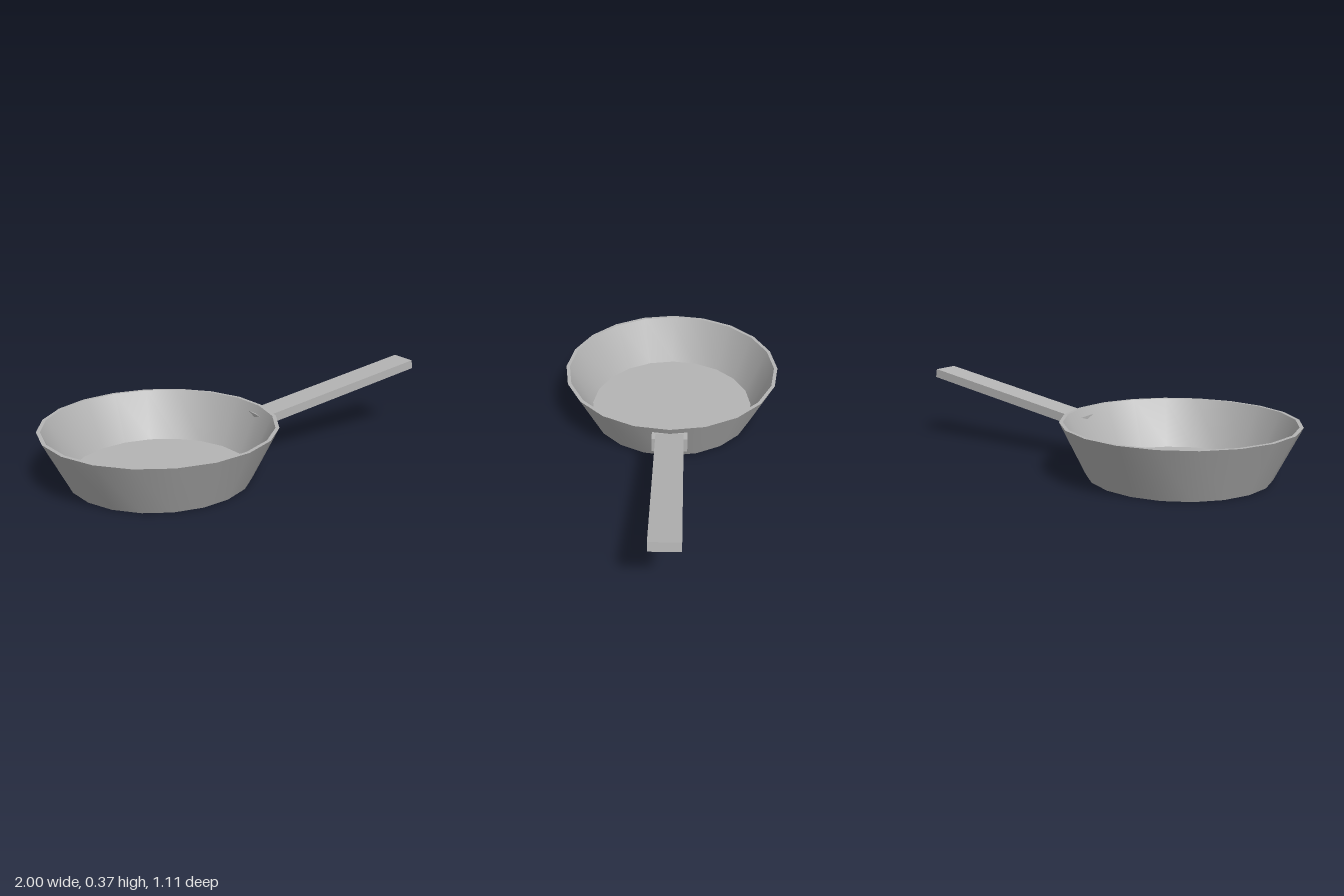
import * as THREE from 'three';
import { toCreasedNormals } from 'three/addons/utils/BufferGeometryUtils.js';

export function createModel() {
  const group = new THREE.Group();
  const metal = new THREE.MeshStandardMaterial({ color: 0xb4b4b4 });
  metal.name = 'grey metal';

  const add = (name, geometry, x, y, z = 0) => {
    const mesh = new THREE.Mesh(geometry, metal);
    mesh.name = name;
    mesh.position.set(x, y, z);
    group.add(mesh);
    return mesh;
  };

  // Bowl: base, flared outer wall, flat rim, inner wall and floor
  const profile = [
    [0, 0], [0.43, 0], [0.553, 0.25], [0.535, 0.25], [0.425, 0.02], [0, 0.02],
  ].map(([r, y]) => new THREE.Vector2(r, y));
  add('panBowl', toCreasedNormals(new THREE.LatheGeometry(profile, 20), 0.5), -0.447, 0);

  // Bracket joining the handle to the wall, just breaking through inside
  add('handleBracket', new THREE.BoxGeometry(0.068, 0.073, 0.17), 0.096, 0.1765);

  // Straight handle rising away from the bowl
  const handle = add('handle', new THREE.BoxGeometry(0.924, 0.044, 0.135), 0.539, 0.27);
  handle.rotation.z = THREE.MathUtils.degToRad(10);

  return group;
}
